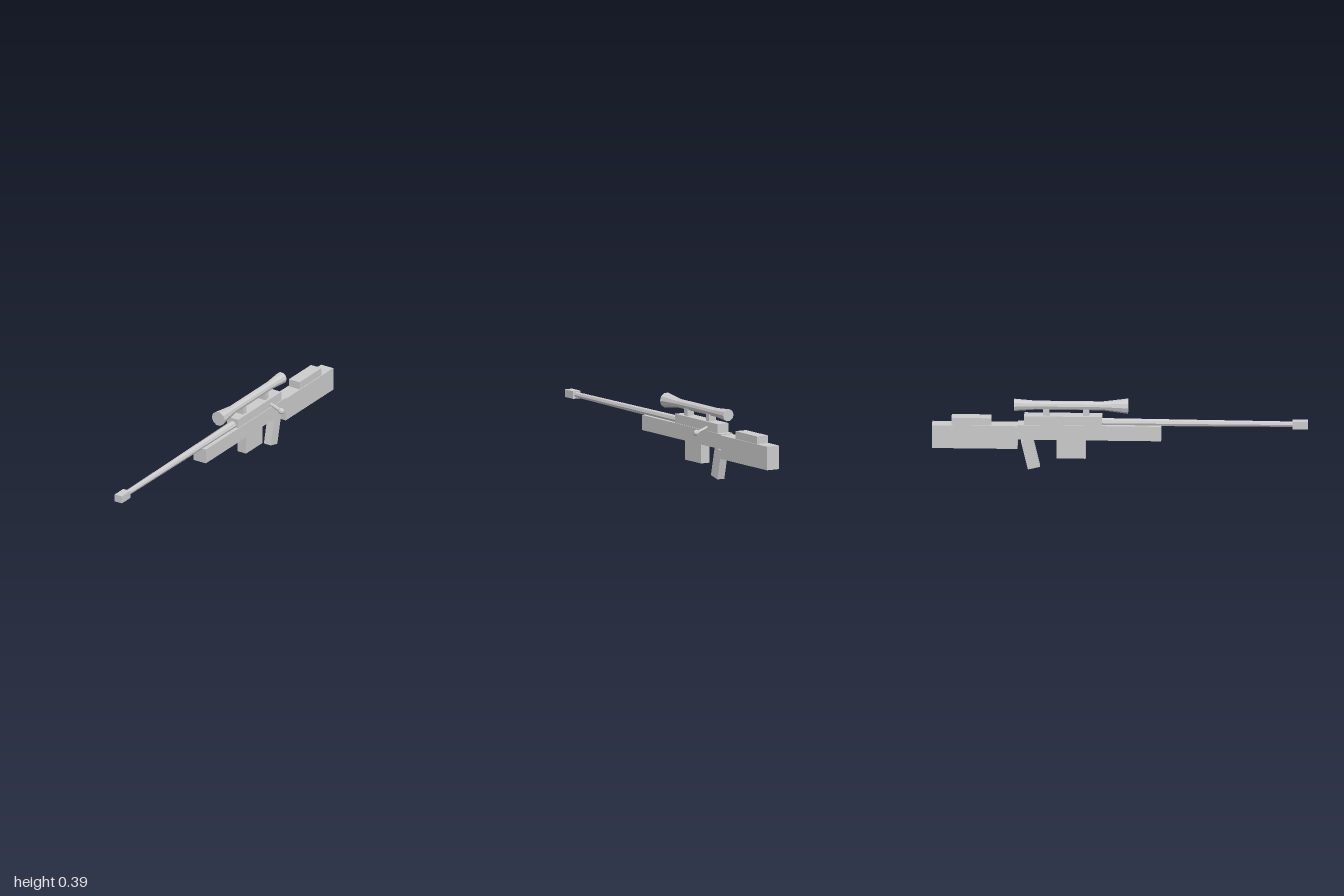
import * as THREE from 'three';

export function createModel() {
  const group = new THREE.Group();
  const grey = new THREE.MeshStandardMaterial({ color: 0xcccccc, flatShading: true });
  grey.name = 'light grey';
  const axisX = -0.04; // the body's centre line; the bolt sticks out to +x

  function add(name, geometry) {
    const mesh = new THREE.Mesh(geometry, grey);
    mesh.name = name;
    group.add(mesh);
    return mesh;
  }

  // Box on the centre line, given by its width and its y and z ranges
  function block(name, width, y0, y1, z0, z1) {
    const mesh = add(name, new THREE.BoxGeometry(width, y1 - y0, z1 - z0));
    mesh.position.set(axisX, (y0 + y1) / 2, (z0 + z1) / 2);
    return mesh;
  }

  // Stock, body and receiver
  block('stock', 0.078, 0.12, 0.247, -1, -0.545);
  block('cheekRest', 0.068, 0.24, 0.288, -0.896, -0.684);
  block('body', 0.078, 0.172, 0.253, -0.545, 0.22);
  block('receiver', 0.07, 0.24, 0.302, -0.51, -0.095);
  block('magazine', 0.055, 0.066, 0.18, -0.338, -0.182);
  block('muzzle', 0.046, 0.243, 0.284, 0.918, 1);

  // Grip, its foot slanting forward
  const grip = add('grip', new THREE.BoxGeometry(0.044, 0.163, 0.065));
  grip.position.set(axisX, 0.087, -0.477);
  grip.rotation.x = -0.235;

  // Tapered barrel
  const barrel = add('barrel', new THREE.CylinderGeometry(0.015, 0.022, 1.04, 8));
  barrel.rotation.x = Math.PI / 2;
  barrel.position.set(axisX, 0.264, 0.41);

  // Scope: ten-sided tube with flared, closed ends
  const profile = [
    [0, -0.563], [0.033, -0.563], [0.024, -0.45],
    [0.024, -0.09], [0.041, 0.043], [0, 0.043],
  ].map(([r, z]) => new THREE.Vector2(r, z));
  const scope = add('scope', new THREE.LatheGeometry(profile, 10, Math.PI / 2));
  scope.rotation.x = Math.PI / 2;
  scope.position.set(axisX, 0.354, 0);
  for (const z of [-0.18, -0.392]) block('scopeMount', 0.042, 0.295, 0.34, z - 0.016, z + 0.016);

  // Bolt handle and knob
  const start = new THREE.Vector3(-0.03, 0.279, -0.408);
  const end = new THREE.Vector3(0.062, 0.247, -0.408);
  const along = end.clone().sub(start);
  const handle = add('boltHandle', new THREE.CylinderGeometry(0.009, 0.008, along.length(), 6));
  handle.position.copy(start).add(end).multiplyScalar(0.5);
  handle.quaternion.setFromUnitVectors(new THREE.Vector3(0, 1, 0), along.normalize());
  const knob = add('boltKnob', new THREE.SphereGeometry(0.0175, 8, 5));
  knob.position.copy(end);
  knob.quaternion.copy(handle.quaternion);

  return group;
}
